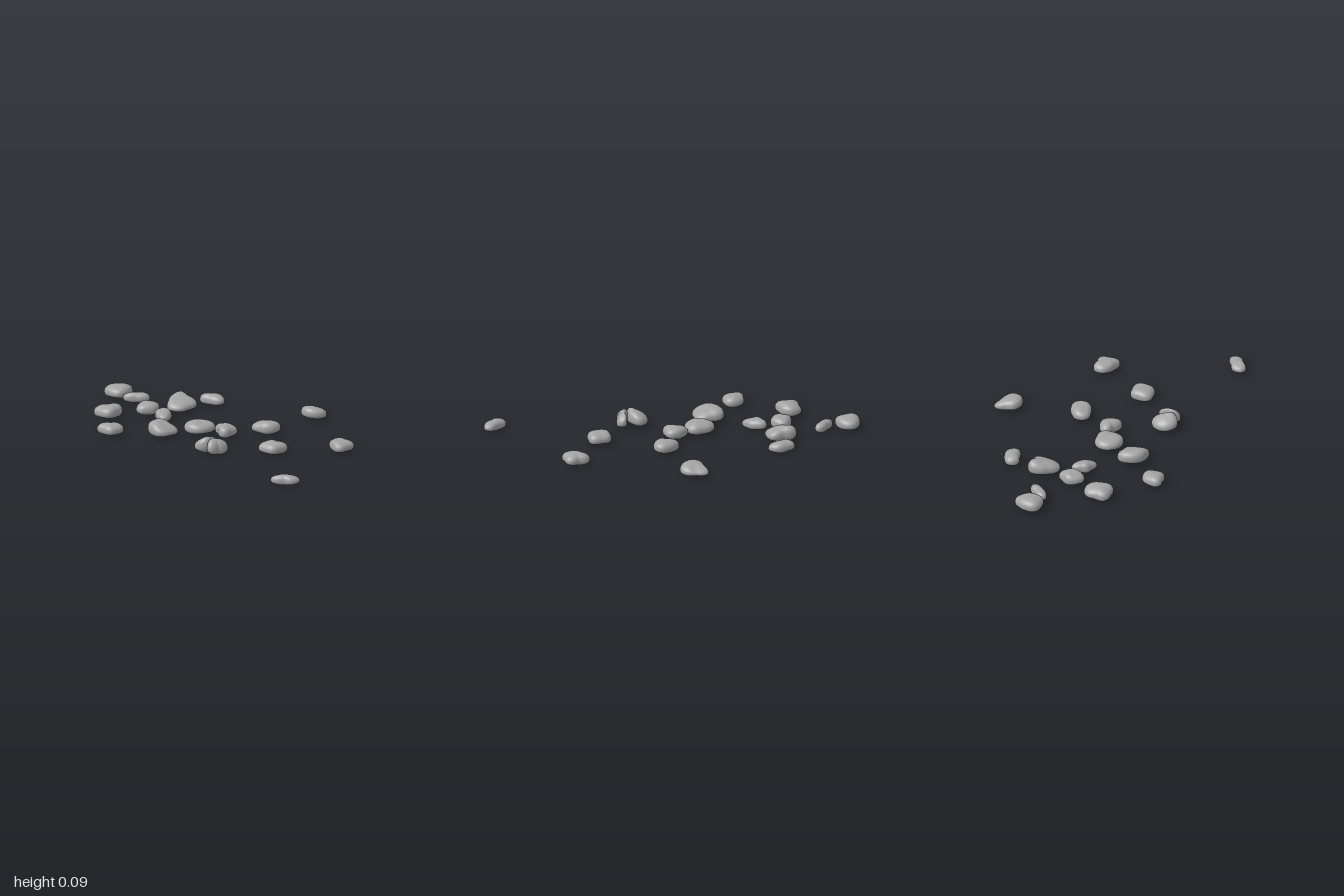
import * as THREE from 'three';
import { mergeVertices } from 'three/addons/utils/BufferGeometryUtils.js';

const stoneGrey = new THREE.MeshStandardMaterial({ color: 0xa3a3a3 });
stoneGrey.name = 'stoneGrey';

// Smooth closed interpolation of eight outline radii, starting at +x and turning towards +z
function outlineRadius(radii, angle) {
  const n = radii.length;
  const t = (((angle / (Math.PI * 2)) % 1) + 1) % 1 * n;
  const i = Math.floor(t), f = t - i;
  const [a, b, c, d] = [-1, 0, 1, 2].map((k) => radii[(i + k + n) % n]);
  return b + 0.5 * f * (c - a + f * (2 * a - 5 * b + 4 * c - d + f * (3 * (b - c) + d - a)));
}

// A rounded pebble: plan outline (radii in hundredths), height, and slope of its upper face
function pebble(radii, height, slopeX, slopeZ, seed) {
  let geo = new THREE.SphereGeometry(1, 40, 24);
  geo.deleteAttribute('uv');
  geo.deleteAttribute('normal');
  geo = mergeVertices(geo, 1e-5);
  const pos = geo.attributes.position;
  const middle = height * 0.42;
  for (let i = 0; i < pos.count; i++) {
    const x = pos.getX(i), y = pos.getY(i), z = pos.getZ(i);
    const angle = Math.atan2(z, x);
    const ring = Math.pow(Math.hypot(x, z), 0.8);
    const r = ring * outlineRadius(radii, angle) / 100;
    const px = r * Math.cos(angle), pz = r * Math.sin(angle);
    const lift = Math.sign(y) * Math.pow(Math.abs(y), 0.85);
    const lump = 1 + 0.09 * ring * Math.sin(2 * angle + seed * 1.7) + 0.05 * ring * Math.sin(3 * angle + seed * 2.9);
    const tilt = slopeX * px + slopeZ * pz;
    const py = y > 0
      ? middle + lift * (height - middle) * lump + tilt * (0.35 + 0.65 * lift)
      : middle + lift * middle * lump + tilt * 0.35 * (1 + lift);
    pos.setXYZ(i, px, py, pz);
  }
  geo.computeBoundingBox();
  geo.translate(0, -geo.boundingBox.min.y, 0);
  geo.computeVertexNormals();
  return geo;
}

export function createModel() {
  const group = new THREE.Group();
  group.name = 'scatteredPebbles';
  let count = 0;
  const add = (x, z, height, slopeX, slopeZ, radii) => {
    count++;
    const mesh = new THREE.Mesh(pebble(radii, height, slopeX, slopeZ, count), stoneGrey);
    mesh.name = 'pebble' + count;
    mesh.position.set(x, 0, z);
    group.add(mesh);
  };

  // Back pebbles
  add(0.085, -0.51, 0.062, 0, 0.3, [7.5, 7.5, 7.5, 7.5, 6.4, 8.8, 6, 6.4]);
  add(-0.48, -0.275, 0.06, 0, 0, [8, 4.8, 4, 6.6, 7, 4.8, 4.7, 6.4]);
  add(0.65, -0.165, 0.066, 0, 0, [7, 8.4, 5.4, 5.4, 7, 7.4, 5.4, 8]);
  add(0.125, -0.11, 0.07, 0.1, 0, [7.5, 6.4, 5.9, 8, 7, 5.4, 5.9, 8]);

  // Left row
  add(-0.93, -0.003, 0.073, 0, 0, [7, 8, 7.2, 8, 6.4, 6.5, 8.4, 7.4]);
  add(-0.79, -0.003, 0.055, 0, 0, [4.2, 2.8, 3.8, 7.4, 4.2, 2.8, 4.4, 7.4]);
  add(-0.525, -0.075, 0.075, -0.2, -0.2, [8, 9, 8.5, 6.4, 7.5, 9.4, 7, 9.5]);
  add(-0.58, 0.105, 0.07, 0, 0, [5.9, 5.9, 7.5, 6.4, 5.9, 5.4, 7, 5.9]);
  add(-0.435, 0.125, 0.06, -0.15, 0, [4.9, 7.5, 4.9, 4.9, 4.9, 7.4, 4.9, 4.3]);

  // Middle pebbles
  add(-0.13, 0.15, 0.068, 0, 0, [8.1, 8.1, 8.1, 8.1, 8.5, 8, 7.4, 9]);
  add(0.02, 0.1, 0.07, 0, 0, [5.9, 7.2, 4.8, 3.8, 7, 5.9, 5.9, 7]);
  add(0.438, 0.13, 0.068, 0, 0, [6.4, 7, 6.4, 8, 6.4, 7, 6.4, 8]);
  add(-0.68, 0.302, 0.073, 0.1, 0, [6.4, 8.4, 7.5, 8.4, 5.9, 7.5, 8, 7]);
  add(-0.23, 0.334, 0.076, -0.24, 0.12, [8, 9, 7.5, 7.5, 8, 9.5, 7.5, 9]);

  // Leaning pair
  add(0.16, 0.366, 0.08, 0.4, 0.1, [5, 6.4, 7, 6.4, 5.9, 6.4, 7.4, 5.4]);
  add(0.246, 0.361, 0.08, -0.6, 0, [2.8, 2.8, 6.4, 5.3, 2.8, 2.8, 6.4, 4.8]);

  // Front pebbles
  add(-0.433, 0.521, 0.064, 0, 0.05, [6.4, 7, 5.9, 7.5, 5.4, 5.4, 5.9, 7]);
  add(0.925, 0.495, 0.055, 0, 0, [5.9, 3.3, 4.3, 8, 6.4, 3.8, 4.3, 8]);

  return group;
}
